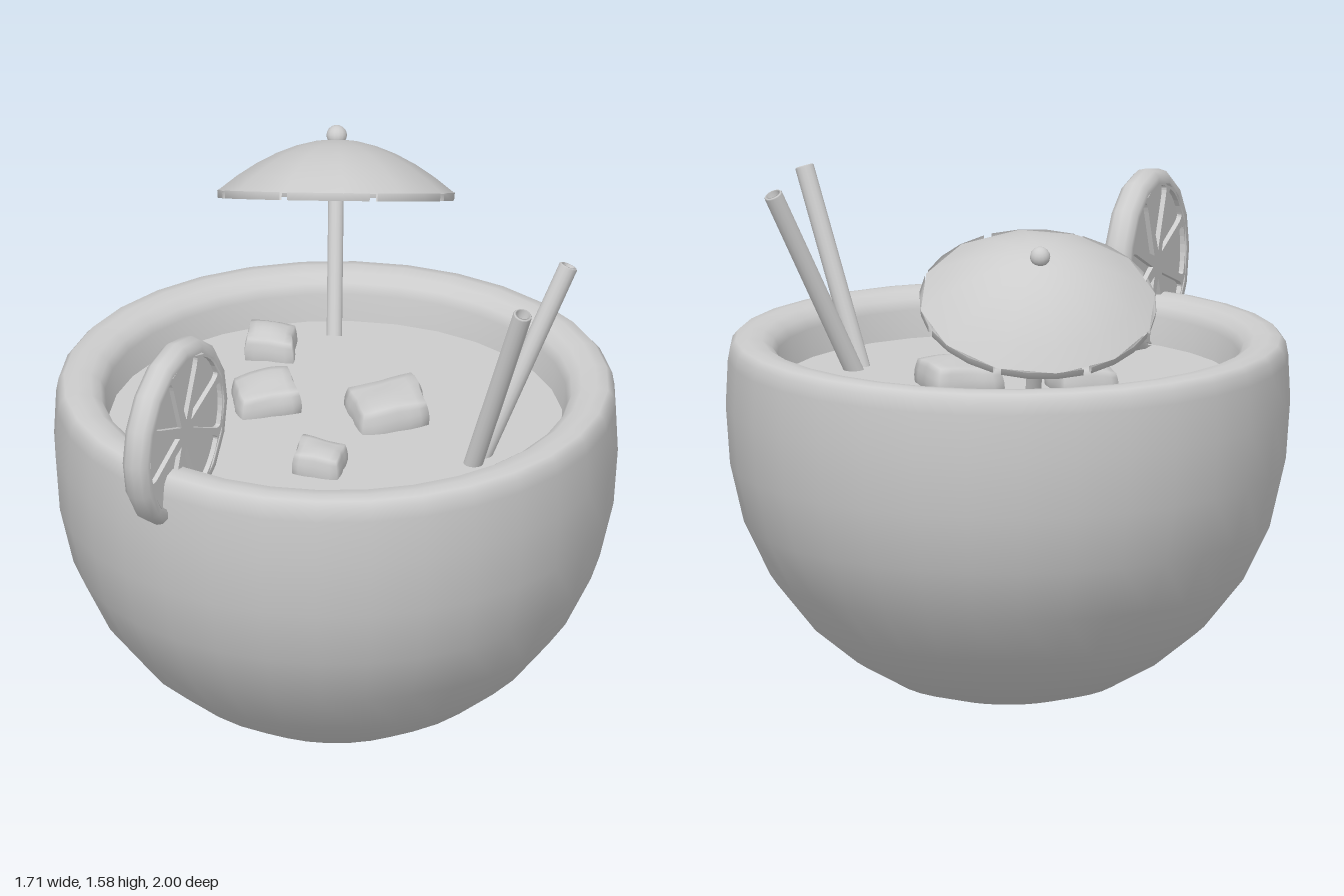
import * as THREE from 'three';
import { mergeVertices } from 'three/addons/utils/BufferGeometryUtils.js';

const grey = new THREE.MeshStandardMaterial({ color: 0xcccccc, side: THREE.DoubleSide });
grey.name = 'plain grey';

const V3 = (x, y, z) => new THREE.Vector3(x, y, z);
const UP = V3(0, 1, 0);
const LIQUID = 0.985;

function add(parent, geometry, name) {
  const mesh = new THREE.Mesh(geometry, grey);
  mesh.name = name;
  parent.add(mesh);
  return mesh;
}

const lathe = (points, sides, start = 0, length = Math.PI * 2) =>
  new THREE.LatheGeometry(points.map(([r, y]) => new THREE.Vector2(r, y)), sides, start, length);

// Hollow-ended drinking straw between two points
function addStraw(parent, base, top, name) {
  const dir = top.clone().sub(base);
  const len = dir.length(), r = 0.029;
  const straw = add(parent, lathe([[r, 0], [r, len - 0.004], [r - 0.003, len], [r - 0.009, len],
    [r - 0.01, len - 0.05], [0, len - 0.05]], 14), name);
  straw.position.copy(base);
  straw.quaternion.setFromUnitVectors(UP, dir.normalize());
}

// Melting cube: corners stay sharp-ish while edges and faces sink inward
function addIce(parent, x, z, size, height, turn, phase) {
  let geo = new THREE.BoxGeometry(1, 1, 1, 6, 6, 6);
  geo.deleteAttribute('normal');
  geo.deleteAttribute('uv');
  geo = mergeVertices(geo);
  const pos = geo.attributes.position, p = new THREE.Vector3();
  for (let i = 0; i < pos.count; i++) {
    p.fromBufferAttribute(pos, i);
    const unit = p.clone().normalize();
    p.lerp(unit.multiplyScalar(0.56), 0.45);
    const wobble = 1 + 0.09 * Math.sin(4 * p.x + phase) * Math.cos(5 * p.z + phase * 2);
    const corner = 0.84 + 0.55 * Math.abs(p.x * p.z);
    p.x *= corner * wobble * size * 1.12;
    p.z *= corner * wobble * size * 1.12;
    p.y = p.y * height * wobble + 0.1 * p.x * Math.sin(phase);
    pos.setXYZ(i, p.x, p.y, p.z);
  }
  geo.computeVertexNormals();
  const ice = add(parent, geo, 'iceCube');
  ice.position.set(x, LIQUID + 0.015, z);
  ice.rotation.y = turn;
}

// Paper umbrella, built upright around its rim centre and then tilted
function makeUmbrella() {
  const g = new THREE.Group();
  g.name = 'umbrella';
  const R = 0.36, H = 0.16, sides = 12;
  const outer = [], inner = [];
  for (let i = 0; i <= 6; i++) {
    const t = i / 6;
    outer.push([R * t, H * (1 - t ** 1.9)]);
    inner.push([(R - 0.016) * t, (H - 0.018) * (1 - t ** 1.9)]);
  }
  add(g, lathe([...outer].reverse(), sides), 'canopyTop');
  add(g, lathe(inner, sides), 'canopyUnderside');
  // Rim lip with small notches
  const n = 8, gap = 0.07;
  for (let i = 0; i < n; i++) {
    const step = Math.PI * 2 / n;
    add(g, lathe([[R - 0.016, 0.002], [R - 0.014, -0.022], [R - 0.002, -0.022], [R, 0.002]],
      3, i * step + gap / 2, step - gap), 'canopyLip');
  }
  const stick = add(g, new THREE.CylinderGeometry(0.024, 0.024, 0.58, 14), 'umbrellaStick');
  stick.position.y = -0.145;
  const knob = add(g, new THREE.SphereGeometry(0.031, 14, 10), 'umbrellaKnob');
  knob.position.y = H + 0.012;
  g.position.set(-0.335, 1.39, -0.67);
  g.quaternion.setFromUnitVectors(UP, V3(-0.2, 1, -0.43).normalize());
  return g;
}

// Citrus slice: rounded rind, sunken flesh and raised membranes
function makeSlice() {
  const g = new THREE.Group();
  g.name = 'citrusSlice';
  const w = 0.042;
  add(g, lathe([[0.25, -w], [0.27, -w], [0.287, -w * 0.6], [0.293, 0], [0.287, w * 0.6],
    [0.27, w], [0.25, w]], 16), 'rind');

  const face = new THREE.Shape().absarc(0, 0, 0.254, 0, Math.PI * 2, false);
  const count = 8, step = Math.PI * 2 / count;
  for (let i = 0; i < count; i++) {
    const mid = i * step;
    const polar = (r, a) => new THREE.Vector2(r * Math.cos(mid + a), r * Math.sin(mid + a));
    const hole = new THREE.Path();
    const tip = polar(0.045, 0), a = polar(0.2, -0.335), b = polar(0.238, -0.27);
    const c = polar(0.238, 0.27), d = polar(0.2, 0.335);
    const ca = polar(0.242, -0.35), cd = polar(0.242, 0.35), out = polar(0.252, 0);
    hole.moveTo(tip.x, tip.y);
    hole.lineTo(a.x, a.y);
    hole.quadraticCurveTo(ca.x, ca.y, b.x, b.y);
    hole.quadraticCurveTo(out.x, out.y, c.x, c.y);
    hole.quadraticCurveTo(cd.x, cd.y, d.x, d.y);
    hole.lineTo(tip.x, tip.y);
    face.holes.push(hole);
  }
  const web = new THREE.ExtrudeGeometry(face, { depth: 2 * w - 0.006, bevelEnabled: false, curveSegments: 5 });
  web.translate(0, 0, -w + 0.003);
  web.rotateX(-Math.PI / 2);
  add(g, web, 'membranes');
  add(g, new THREE.CylinderGeometry(0.255, 0.255, 2 * w - 0.036, 16), 'flesh');
  g.rotation.z = Math.PI / 2;
  g.position.set(-0.192, 1.222, 0.705);
  return g;
}

export function createModel() {
  const model = new THREE.Group();
  model.name = 'coconutCocktail';

  // Half shell with a thick rounded rim
  add(model, lathe([[0, 0], [0.06, 0.002], [0.2, 0.027], [0.33, 0.062], [0.47, 0.14], [0.6, 0.245],
    [0.72, 0.395], [0.8, 0.56], [0.842, 0.74], [0.855, 0.92], [0.849, 1.06], [0.842, 1.1],
    [0.825, 1.12], [0.79, 1.126], [0.745, 1.12], [0.715, 1.1], [0.7, 1.07], [0.685, 0.96]], 32), 'shell');

  const liquid = add(model, new THREE.CircleGeometry(0.692, 32), 'liquid');
  liquid.rotation.x = -Math.PI / 2;
  liquid.position.y = LIQUID;

  addIce(model, -0.245, -0.015, 0.19, 0.12, 0.7, 1);
  addIce(model, 0.12, -0.11, 0.225, 0.13, 0.75, 2.2);
  addIce(model, 0.095, 0.3, 0.15, 0.11, 0.2, 4);
  addIce(model, -0.39, -0.34, 0.15, 0.12, 0.35, 5.1);

  addStraw(model, V3(0.49, 0.96, 0.065), V3(0.71, 1.57, 0.155), 'frontStraw');
  addStraw(model, V3(0.49, 0.96, 0.015), V3(0.675, 1.56, -0.225), 'backStraw');

  model.add(makeUmbrella(), makeSlice());
  return model;
}
